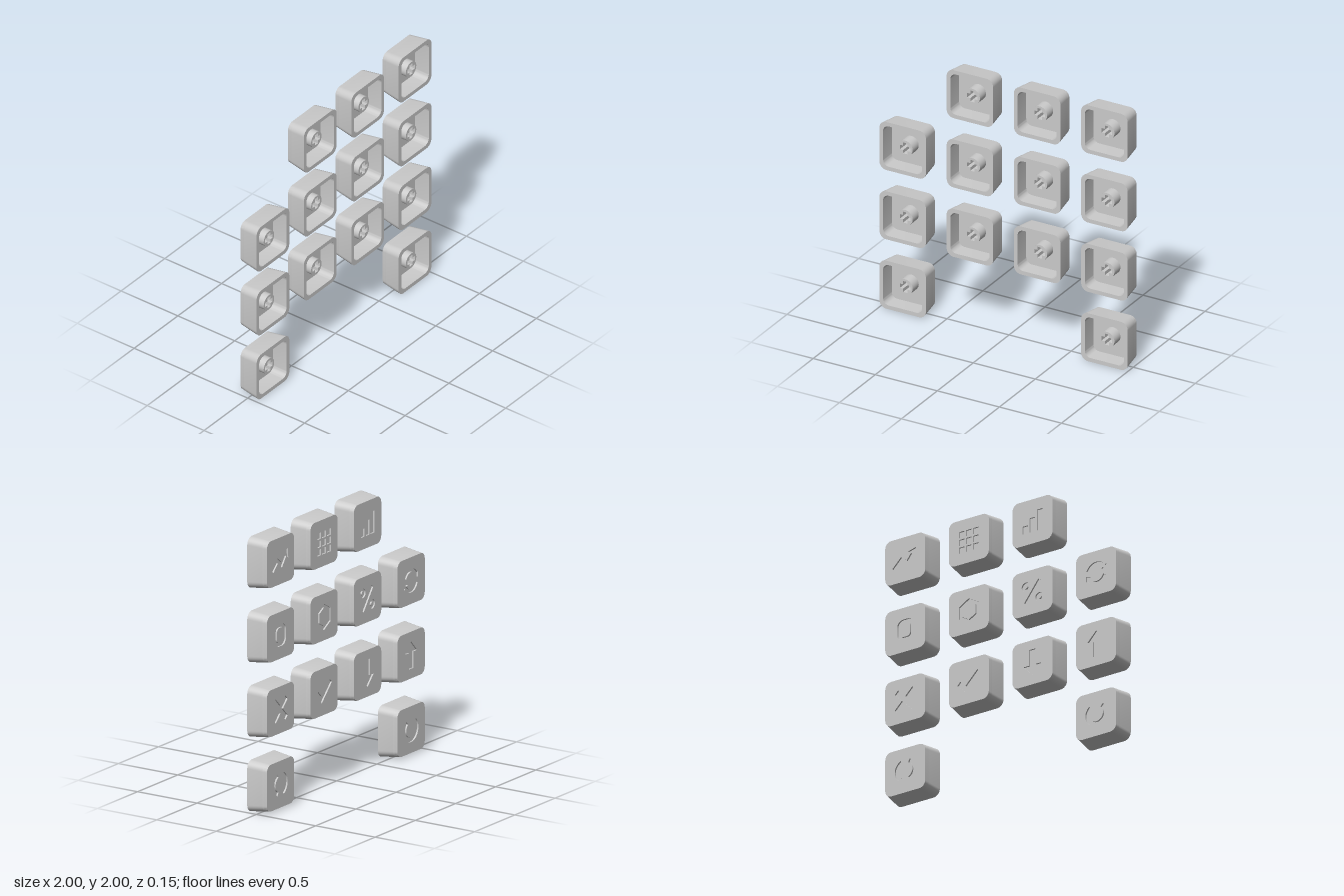
import * as THREE from 'three';
import { toCreasedNormals } from 'three/addons/utils/BufferGeometryUtils.js';

const PITCH = 1.625 / 3, SIZE = 0.375, BACK = 0.34;
const H = 0.077;        // half depth of a cap
const FLOOR = 0.043;    // inside of the cap's face
const FACE = 0.065;     // bottom of the engraving
const mat = new THREE.MeshStandardMaterial({ color: 0xcccccc });
const V = (x, y) => new THREE.Vector2(x, y);

// ---- outlines ----
function roundRect(w, h, r, steps = 8) {
  const pts = [];
  [[1, 1], [-1, 1], [-1, -1], [1, -1]].forEach(([sx, sy], q) => {
    for (let i = 0; i <= steps; i++) {
      const a = (q + i / steps) * Math.PI / 2;
      pts.push(V(sx * (w / 2 - r) + r * Math.cos(a), sy * (h / 2 - r) + r * Math.sin(a)));
    }
  });
  return pts;
}

function ngon(x, y, r, n, turn = 0) {
  return Array.from({ length: n }, (_, i) => {
    const a = turn + i / n * Math.PI * 2;
    return V(x + r * Math.cos(a), y + r * Math.sin(a));
  });
}

const rect = (x0, y0, x1, y1) => [V(x0, y0), V(x1, y0), V(x1, y1), V(x0, y1)];

function cross(len, width, turn = 0) {
  const a = len / 2, b = width / 2, pts = [];
  for (let q = 0; q < 4; q++) {
    for (const [x, y] of [[a, -b], [a, b], [b, b]]) {
      pts.push(V(x, y).rotateAround(V(0, 0), q * Math.PI / 2 + turn));
    }
  }
  return pts;
}

// Thick mitred line, optionally ending in an arrowhead
function stroke(points, width, headHalf = 0, headLength = 0) {
  const p = points.map(([x, y]) => V(x, y)), n = p.length;
  const dir = i => p[i + 1].clone().sub(p[i]).normalize();
  const left = [], right = [];
  for (let i = 0; i < n; i++) {
    const d0 = dir(Math.max(i - 1, 0)), d1 = dir(Math.min(i, n - 2));
    const d = d0.clone().add(d1).normalize();
    const off = V(-d.y, d.x).multiplyScalar(width / 2 / d.dot(d0));
    left.push(p[i].clone().add(off));
    right.unshift(p[i].clone().sub(off));
  }
  const head = [];
  if (headHalf) {
    const d = dir(n - 2), nrm = V(-d.y, d.x), e = p[n - 1];
    head.push(e.clone().addScaledVector(nrm, headHalf), e.clone().addScaledVector(d, headLength),
      e.clone().addScaledVector(nrm, -headHalf));
  }
  return [...left, ...head, ...right];
}

function arc(r, from, to, steps = 20) {
  return Array.from({ length: steps + 1 }, (_, i) => {
    const a = THREE.MathUtils.degToRad(from + (to - from) * i / steps);
    return [r * Math.cos(a), r * Math.sin(a)];
  });
}

// ---- engravings: cuts in the face, islands left standing inside them ----
const squares = [];
for (const x of [-1, 0, 1]) for (const y of [-1, 0, 1]) {
  squares.push(rect(x * 0.06 - 0.023, y * 0.06 - 0.023, x * 0.06 + 0.023, y * 0.06 + 0.023));
}
const icons = {
  trend: { cuts: [stroke([[-0.1, -0.06], [-0.035, 0.005], [0.015, -0.035], [0.06, 0.025]], 0.028, 0.045, 0.055)] },
  grid: { cuts: squares },
  bars: { cuts: [0, 1, 2].map(i => rect(-0.085 + i * 0.062, -0.08, -0.04 + i * 0.062, -0.02 + i * 0.05)) },
  frame: { cuts: [roundRect(0.135, 0.16, 0.05)], islands: [roundRect(0.085, 0.11, 0.028)] },
  hexagon: { cuts: [ngon(0, 0, 0.095, 6, Math.PI / 6)], islands: [ngon(0, 0, 0.068, 6, Math.PI / 6)] },
  percent: {
    cuts: [stroke([[-0.06, -0.08], [0.06, 0.08]], 0.028),
      ngon(-0.058, 0.052, 0.034, 20), ngon(0.058, -0.052, 0.034, 20)],
    islands: [ngon(-0.058, 0.052, 0.015, 20), ngon(0.058, -0.052, 0.015, 20)],
  },
  refresh: { cuts: [[160, 30], [340, 210]].map(([a, b]) => stroke(arc(0.075, a, b), 0.024, 0.026, 0.035)) },
  cancel: { cuts: [cross(0.21, 0.04, Math.PI / 4)] },
  check: { cuts: [stroke([[-0.085, 0], [-0.028, -0.055], [0.085, 0.06]], 0.036)] },
  down: { cuts: [stroke([[0, 0.1], [0, -0.02]], 0.055, 0.075, 0.08)] },
  up: { cuts: [stroke([[0, -0.1], [0, 0.02]], 0.055, 0.075, 0.08)] },
  splitRing: { cuts: [[-65, 65], [115, 245]].map(([a, b]) => stroke(arc(0.075, a, b), 0.028)) },
  openRing: { cuts: [stroke(arc(0.075, 130, 410, 32), 0.032)] },
};

// ---- solids ----
function slab(outline, holes, z0, z1) {
  const shape = new THREE.Shape(outline);
  shape.holes = holes.map(h => new THREE.Path(h));
  const geo = new THREE.ExtrudeGeometry(shape, { depth: z1 - z0, bevelEnabled: false });
  geo.translate(0, 0, z0);
  // the outer skin narrows towards the face
  const p = geo.attributes.position;
  for (let i = 0; i < p.count; i++) {
    if (Math.max(Math.abs(p.getX(i)), Math.abs(p.getY(i))) < 0.16) continue;
    const s = 1 - (1 - BACK / SIZE) * (p.getZ(i) + H) / (2 * H);
    p.setXY(i, p.getX(i) * s, p.getY(i) * s);
  }
  return toCreasedNormals(geo, 0.5);
}

const OUTER = roundRect(SIZE, SIZE, 0.055);
const INNER = roundRect(0.315, 0.315, 0.045);
const wallGeo = slab(OUTER, [INNER], -H, FLOOR);
const floorGeo = slab(OUTER, [], FLOOR, FACE);
const stemGeo = slab(ngon(0, 0, 0.06, 32), [cross(0.085, 0.034)], -0.042, FLOOR);

function keycap(name) {
  const cap = new THREE.Group();
  cap.name = name + 'Keycap';
  const add = (part, geo) => {
    const mesh = new THREE.Mesh(geo, mat);
    mesh.name = part;
    cap.add(mesh);
  };
  const { cuts, islands = [] } = icons[name];
  add('wall', wallGeo);
  add('floor', floorGeo);
  add('stem', stemGeo);
  add('engravedFace', slab(OUTER, cuts, FACE, H));
  islands.forEach(o => add('engravingIsland', slab(o, [], FACE, H)));
  cap.rotation.y = Math.PI; // engraved side to the back
  return cap;
}

export function createModel() {
  const model = new THREE.Group();
  model.name = 'keycapSet';
  // rows from the top, columns from -x to +x
  const rows = [
    [null, 'bars', 'grid', 'trend'],
    ['refresh', 'percent', 'hexagon', 'frame'],
    ['up', 'down', 'check', 'cancel'],
    ['openRing', null, null, 'splitRing'],
  ];
  rows.forEach((row, r) => row.forEach((name, c) => {
    if (!name) return;
    const cap = keycap(name);
    cap.position.set((c - 1.5) * PITCH, SIZE / 2 + (3 - r) * PITCH, 0);
    model.add(cap);
  }));
  return model;
}
